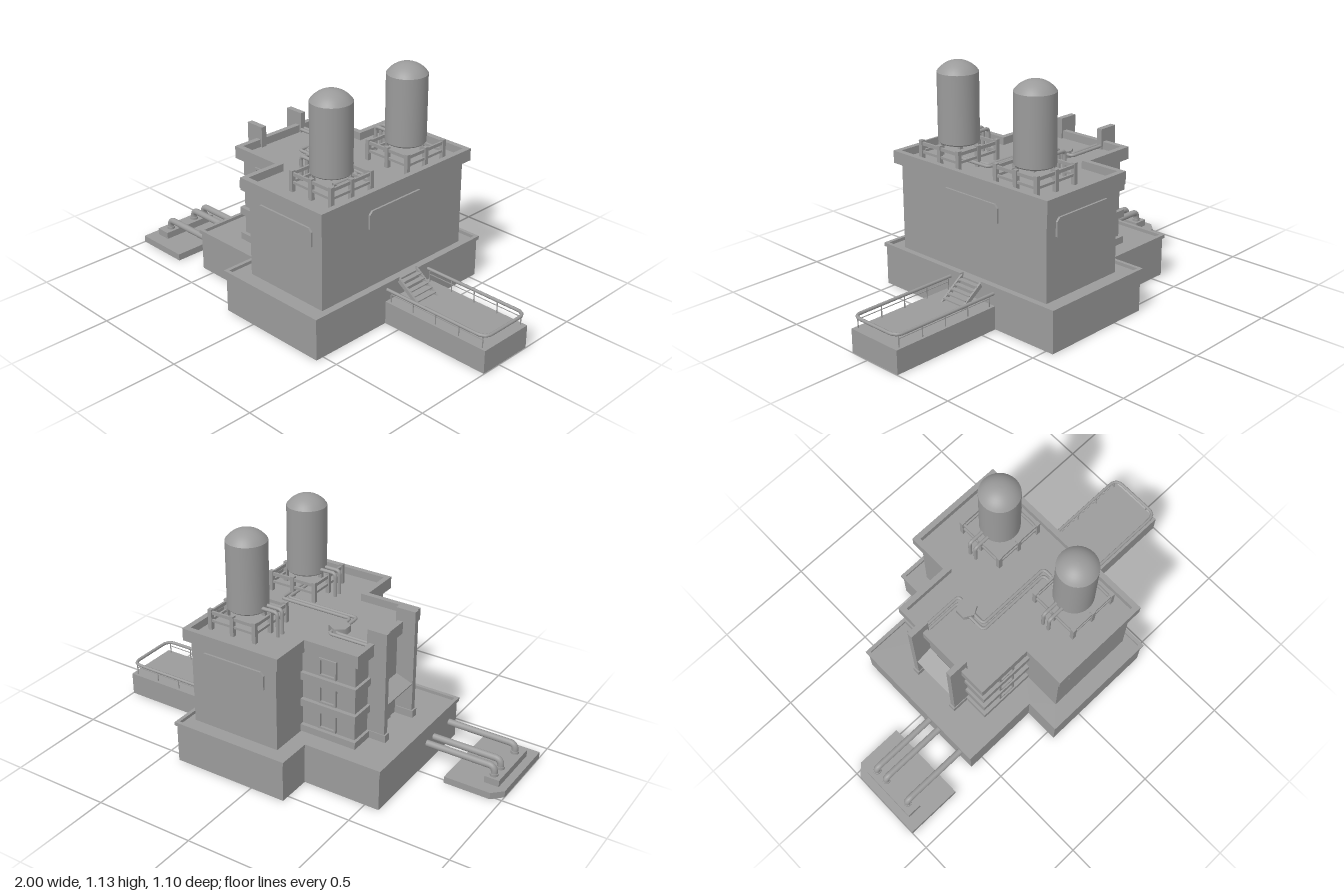
import * as THREE from 'three';
import { mergeGeometries } from 'three/addons/utils/BufferGeometryUtils.js';

const mat = new THREE.MeshStandardMaterial({ color: 0x9b9b9b, side: THREE.DoubleSide });
const V = (x, y, z) => new THREE.Vector3(x, y, z);

export function createModel() {
  const root = new THREE.Group();
  const add = (name, geo, parent = root) => {
    const m = new THREE.Mesh(geo, mat);
    m.name = name;
    parent.add(m);
    return m;
  };
  const group = (name) => {
    const g = new THREE.Group();
    g.name = name;
    root.add(g);
    return g;
  };
  // Box given by its limits on each axis
  const box = (name, x0, x1, y0, y1, z0, z1, parent) => {
    const g = new THREE.BoxGeometry(x1 - x0, y1 - y0, z1 - z0);
    g.translate((x0 + x1) / 2, (y0 + y1) / 2, (z0 + z1) / 2);
    return add(name, g, parent);
  };
  // Plans are counter-clockwise lists of [x, -z]
  const planShape = (pts, hole) => {
    const s = new THREE.Shape(pts.map((p) => new THREE.Vector2(...p)));
    if (hole) s.holes.push(new THREE.Path(hole.map((p) => new THREE.Vector2(...p))));
    return s;
  };
  const prism = (name, pts, y0, y1, hole, parent) => {
    const g = new THREE.ExtrudeGeometry(planShape(pts, hole), { depth: y1 - y0, bevelEnabled: false });
    return add(name, g.rotateX(-Math.PI / 2).translate(0, y0, 0), parent);
  };
  // Thin walls with a lid, open underneath
  const shell = (name, pts, y0, y1, lidY = y1, hole) => {
    const parts = pts.map((a, i) => {
      const b = pts[(i + 1) % pts.length];
      const dx = b[0] - a[0], dy = b[1] - a[1];
      return new THREE.PlaneGeometry(Math.hypot(dx, dy), y1 - y0)
        .rotateY(Math.atan2(dy, dx))
        .translate((a[0] + b[0]) / 2, (y0 + y1) / 2, -(a[1] + b[1]) / 2);
    });
    parts.push(new THREE.ShapeGeometry(planShape(pts, hole)).rotateX(-Math.PI / 2).translate(0, lidY, 0));
    return add(name, mergeGeometries(parts));
  };
  const rect = (x0, x1, z0, z1) => [[x0, -z1], [x1, -z1], [x1, -z0], [x0, -z0]];
  // T-shaped plan: rear wing (xr, zr) joined to main block (xm..xf, zm), grown by o
  const tPlan = (xr, xm, xf, zr, zm, o = 0) => {
    const r = xr - o, m = xm - o, f = xf + o, a = zr + o, b = zm + o;
    return [[f, -b], [f, b], [m, b], [m, a], [r, a], [r, -a], [m, -a], [m, -b]];
  };
  // Pipe through points with rounded corners
  const pipe = (name, pts, r, bend, parent, sides = 10) => {
    const path = new THREE.CurvePath();
    let from = pts[0];
    for (let i = 1; i < pts.length - 1; i++) {
      const c = pts[i];
      const p = c.clone().add(pts[i - 1].clone().sub(c).setLength(bend));
      const q = c.clone().add(pts[i + 1].clone().sub(c).setLength(bend));
      path.add(new THREE.LineCurve3(from, p));
      path.add(new THREE.QuadraticBezierCurve3(p, c, q));
      from = q;
    }
    path.add(new THREE.LineCurve3(from, pts[pts.length - 1]));
    return add(name, new THREE.TubeGeometry(path, pts.length * 16, r, sides), parent);
  };

  // Base with deck and raised rim, left open at the stairs
  const base = (o) => tPlan(-0.572, -0.178, 0.418, 0.365, 0.541, o);
  const hall = (o) => tPlan(-0.372, -0.093, 0.372, 0.25, 0.46, o);
  shell('base', base(0), 0, 0.197, 0.197, hall(0));
  const out = base(0.008), inn = base(-0.01);
  prism('baseRim', [
    [out[0][0], 0.11], ...out.slice(1), out[0], [out[0][0], -0.02],
    [inn[0][0], -0.02], inn[0], ...inn.slice(1).reverse(), [inn[0][0], 0.11],
  ], 0.195, 0.213);

  // Building walls, roof and parapet
  shell('building', hall(0), 0.197, 0.65);
  prism('parapet', hall(0.027), 0.627, 0.688, hall(0));

  // Long windows with cut upper corners on three sides
  const win = new THREE.Shape([[-0.173, 0], [0.173, 0], [0.173, 0.07], [0.156, 0.087], [-0.156, 0.087], [-0.173, 0.07]]
    .map((p) => new THREE.Vector2(...p)));
  for (const [x, z, ry] of [[0.142, 0.46, 0], [0.142, -0.46, Math.PI], [0.372, 0, Math.PI / 2]]) {
    const m = add('longWindow', new THREE.ExtrudeGeometry(win, { depth: 0.01, bevelEnabled: false }));
    m.position.set(x, 0.495, z);
    m.rotation.y = ry;
  }

  // Rear wing: floor bands wrapping the corners, square windows on both sides
  const wing = group('rearWing');
  const band = [[-0.09, 0.25], [-0.09, 0.27], [-0.386, 0.27], [-0.386, 0.13], [-0.372, 0.13], [-0.372, 0.25]];
  for (const s of [-1, 1]) {
    const plan = band.map(([x, y]) => [x, s * y]);
    for (const [y0, y1] of [[0.2, 0.235], [0.335, 0.372], [0.474, 0.512]]) {
      prism('floorBand', plan, y0, y1, null, wing);
    }
    for (const y of [0.29, 0.426, 0.567]) {
      const w = group('squareWindow');
      for (const k of [-1, 1]) {
        box('windowSide', k * 0.041 - 0.005, k * 0.041 + 0.005, -0.046, 0.046, 0, 0.014, w);
        box('windowRail', -0.046, 0.046, k * 0.041 - 0.005, k * 0.041 + 0.005, 0, 0.014, w);
      }
      box('windowPane', -0.037, 0.037, -0.037, 0.037, 0, 0.003, w);
      w.position.set(-0.232, y, s * 0.25);
      w.rotation.y = s > 0 ? 0 : Math.PI;
    }
    // Tall fins on the rear wall
    box('rearFin', -0.462, -0.372, 0.197, 0.752, s * 0.127 - 0.014, s * 0.127 + 0.014, wing);
    box('finTop', -0.372, -0.362, 0.65, 0.752, s * 0.127 - 0.014, s * 0.127 + 0.014, wing);
    box('finFoot', -0.47, -0.38, 0.197, 0.235, s * 0.127 - 0.018, s * 0.127 + 0.018, wing);
  }
  box('rearDoor', -0.38, -0.372, 0.197, 0.36, -0.06, 0.06, wing);
  const canopy = box('doorCanopy', -0.045, 0.045, -0.005, 0.005, -0.113, 0.113, wing);
  canopy.position.set(-0.415, 0.39, 0);
  canopy.rotation.z = 0.35;

  // Roof tanks, each on a railed stand with two feed pipes
  const profile = [[0, 0.745], [0.09, 0.745], [0.097, 0.752], [0.097, 1.08]].map((p) => new THREE.Vector2(...p));
  const dome = [];
  for (let i = 0; i <= 8; i++) {
    const a = 0.98 * (1 - i / 8);
    const R = 0.097 / Math.sin(0.98);
    dome.push(new THREE.Vector2(R * Math.sin(a), 1.08 + R * (Math.cos(a) - Math.cos(0.98))));
  }
  for (const s of [-1, 1]) {
    const t = group('tank');
    for (let i = 0; i < 3; i++) add('tankBody', new THREE.LatheGeometry(profile.slice(i, i + 2), 32), t);
    add('tankDome', new THREE.LatheGeometry(dome, 32), t);
    for (const i of [-1, 0, 1]) for (const j of [-1, 0, 1]) {
      if (!i && !j) continue;
      box('standPost', i * 0.122 - 0.01, i * 0.122 + 0.01, 0.65, 0.752, j * 0.122 - 0.01, j * 0.122 + 0.01, t);
    }
    for (const k of [-1, 1]) for (const [y0, y1] of [[0.69, 0.702], [0.728, 0.744]]) {
      box('standRail', -0.122, 0.122, y0, y1, k * 0.122 - 0.005, k * 0.122 + 0.005, t);
      box('standRail', k * 0.122 - 0.005, k * 0.122 + 0.005, y0, y1, -0.122, 0.122, t);
    }
    for (const dz of [-0.018, 0.018]) {
      pipe('feedPipe', [V(-0.174, 0.65, dz), V(-0.174, 0.77, dz), V(-0.08, 0.77, dz)], 0.009, 0.02, t);
    }
    t.position.set(0.209, 0, s * 0.241);
  }

  // Roof pipework around a hexagonal junction
  const works = group('roofPipework');
  add('junction', new THREE.CylinderGeometry(0.05, 0.05, 0.034, 6).translate(-0.172, 0.667, -0.065), works);
  for (const d of [0, 0.022]) {
    pipe('junctionPipe', [V(-0.36, 0.668, -0.135 + d), V(-0.158 - d, 0.668, -0.135 + d), V(-0.158 - d, 0.668, -0.06)], 0.008, 0.02, works);
    pipe('tankPipe', [V(-0.187 + d, 0.668, -0.05), V(-0.187 + d, 0.668, 0.062 - d), V(0.197 + d, 0.668, 0.062 - d), V(0.197 + d, 0.668, 0.22)], 0.008, 0.02, works);
  }

  // Side platform with guard rail, thin side wires and posts
  shell('platform', rect(0.418, 0.998, -0.192, 0.102), 0, 0.115);
  const rail = group('guardRail');
  pipe('topRail', [V(0.42, 0.175, 0.094), V(0.99, 0.175, 0.094), V(0.99, 0.175, -0.184), V(0.42, 0.175, -0.184)], 0.008, 0.045, rail, 8);
  for (const z of [0.088, -0.177]) {
    box('sideWire', 0.44, 0.975, 0.153, 0.156, z - 0.0015, z + 0.0015, rail);
    for (let i = 0; i < 5; i++) {
      const x = 0.44 + i * 0.133;
      box('railPost', x - 0.002, x + 0.002, 0.113, 0.17, z - 0.002, z + 0.002, rail);
    }
  }

  // Stairs from the deck down to the platform
  const stairs = group('stairs');
  const side = [[0.418, 0.21], [0.418, 0.185], [0.52, 0.115], [0.552, 0.115], [0.43, 0.203]]
    .map((p) => new THREE.Vector2(...p));
  for (const z of [-0.112, 0.012]) {
    add('stringer', new THREE.ExtrudeGeometry(new THREE.Shape(side), { depth: 0.01, bevelEnabled: false }).translate(0, 0, z), stairs);
  }
  for (let i = 0; i < 5; i++) {
    const x = 0.425 + i * 0.023, y = 0.193 - i * 0.0155;
    box('tread', x, x + 0.024, y - 0.006, y, -0.105, 0.014, stairs);
  }

  // Rear pad with pipes running into the base
  shell('pad', [[-1, -0.405], [-0.716, -0.405], [-0.716, 0.02], [-0.95, 0.02], [-1, -0.03]], 0, 0.034);
  box('padBlock', -0.962, -0.888, 0.034, 0.068, 0.042, 0.342);
  for (const z of [0.073, 0.139, 0.291]) {
    pipe('groundPipe', [V(-0.573, 0.115, z), V(-0.922, 0.115, z), V(-0.922, 0.06, z)], 0.016, 0.03, root, 14);
    add('pipeCollar', new THREE.CylinderGeometry(0.02, 0.02, 0.012, 16).translate(-0.922, 0.074, z));
  }
  return root;
}
